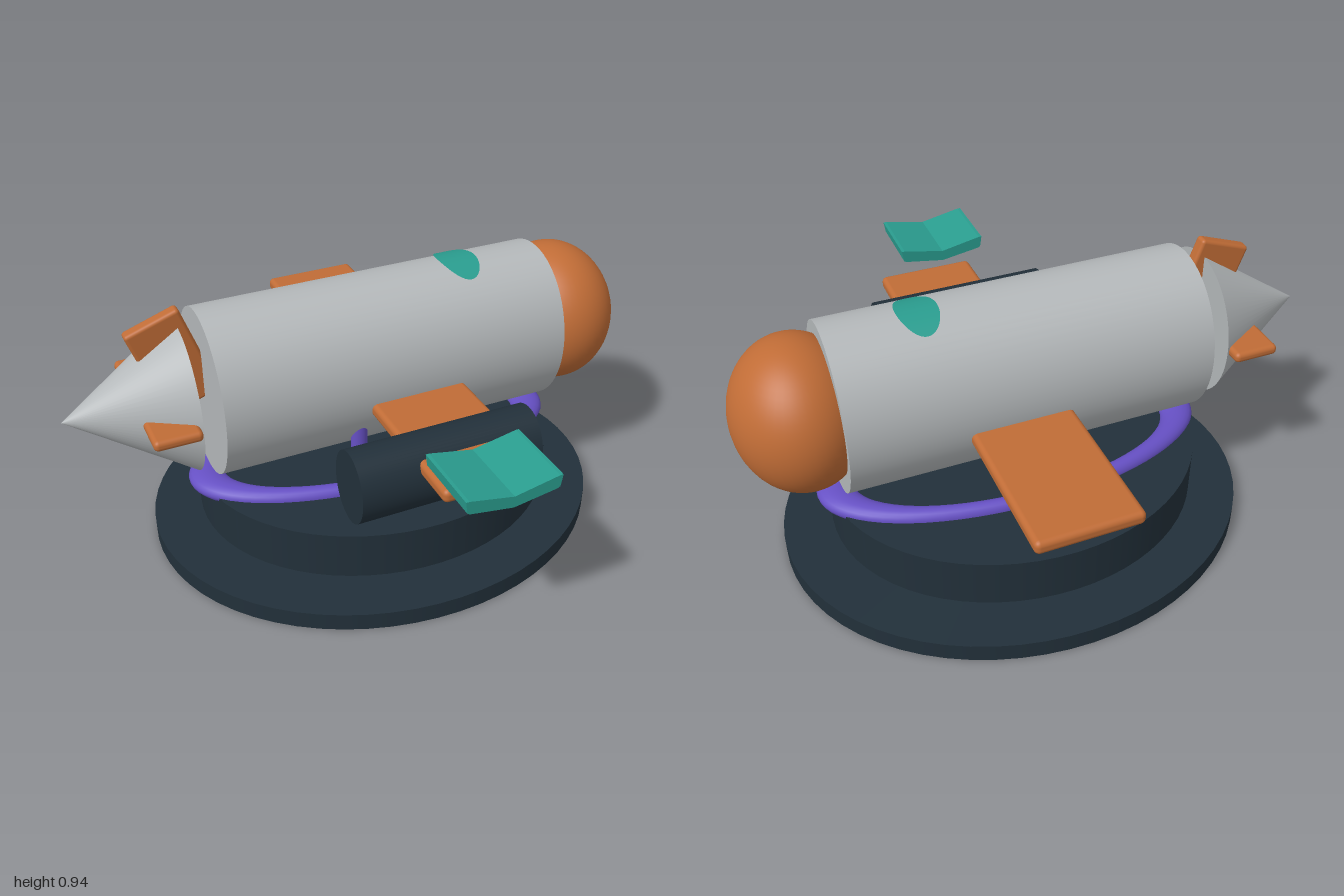
import * as THREE from 'three';
import { RoundedBoxGeometry } from 'three/addons/geometries/RoundedBoxGeometry.js';

const paint = (name, color) => {
  const m = new THREE.MeshStandardMaterial({ color });
  m.name = name;
  return m;
};

export function createModel() {
  const navy = paint('navy', 0x22303a);
  const grey = paint('grey', 0xb4b8ba);
  const orange = paint('orange', 0xc06c36);
  const teal = paint('teal', 0x2a9d8f);
  const purple = paint('purple', 0x6650c4);

  const model = new THREE.Group();
  const CZ = -0.095; // centre line of the craft
  const BODY_Y = 0.617;

  const add = (name, geometry, material, x, y, z) => {
    const mesh = new THREE.Mesh(geometry, material);
    mesh.name = name;
    mesh.position.set(x, y, z);
    model.add(mesh);
    return mesh;
  };
  // Upright elliptical cylinder
  const disc = (rx, rz, h) => new THREE.CylinderGeometry(1, 1, h, 64).scale(rx, 1, rz);
  // Cylinder lying along x, narrow end towards -x
  const lying = (rTip, ry, rz, length) =>
    new THREE.CylinderGeometry(rTip, 1, length, 64).rotateZ(Math.PI / 2).scale(1, ry, rz);
  const box = (w, h, d, r) => new RoundedBoxGeometry(w, h, d, 3, r);

  // Stand
  add('basePlate', disc(0.815, 0.695, 0.063), navy, 0.075, 0.0315, CZ);
  add('turntable', disc(0.645, 0.55, 0.17), navy, 0.075, 0.18, CZ);
  const ring = new THREE.TorusGeometry(1, 0.1, 20, 72).rotateX(Math.PI / 2);
  add('standRing', ring.scale(0.627, 0.325, 0.278), purple, 0.075, 0.263, CZ);

  // Struts with rounded feet
  for (const x of [-0.065, 0.22]) {
    add('strut', disc(0.029, 0.025, 0.44), purple, x, 0.285, 0.097);
    add('foot', new THREE.SphereGeometry(1, 32, 20).scale(0.029, 0.045, 0.09), navy, x, 0.107, 0.097);
  }

  // Fuselage, nose and tail cone
  add('fuselage', lying(1, 0.293, 0.25, 1.23), grey, 0.075, BODY_Y, CZ);
  add('nose', new THREE.SphereGeometry(1, 48, 32).scale(0.213, 0.255, 0.25), orange, 0.783, 0.63, CZ);
  add('tailCone', lying(0, 0.263, 0.228, 0.395), grey, -0.8025, 0.621, CZ);

  // Wings and tail surfaces
  add('wing', box(0.345, 0.047, 1.51, 0.018), orange, 0.132, 0.553, CZ);
  add('tailPlane', box(0.157, 0.037, 0.535, 0.016), orange, -0.692, 0.625, -0.1);
  const fin = add('tailFin', box(0.19, 0.34, 0.046, 0.012), orange, -0.63, 0.755, CZ);
  fin.rotation.z = 0.34;

  // Engine pod
  add('enginePod', lying(1, 0.126, 0.105, 0.63), navy, 0.075, 0.487, 0.414);

  // Bent plate in front of the wing
  const chevron = new THREE.Shape([
    [-0.156, 0.025], [-0.15, -0.015], [-0.142, -0.02], [0, -0.043], [0.142, -0.02], [0.15, -0.015],
    [0.156, 0.025], [0.145, 0.025], [0, -0.004], [-0.145, 0.025],
  ].map(([x, y]) => new THREE.Vector2(x, y)));
  add('bentPlate', new THREE.ExtrudeGeometry(chevron, { depth: 0.243, bevelEnabled: false }),
    teal, 0.075, 0.669, 0.606);

  // Oval window wrapped over the top of the fuselage
  const oval = new THREE.RingGeometry(0.001, 1, 40, 8).rotateX(-Math.PI / 2).scale(0.067, 1, 0.113);
  const p = oval.attributes.position;
  for (let i = 0; i < p.count; i++) {
    p.setY(i, 0.297 * Math.sqrt(1 - (p.getZ(i) / 0.253) ** 2));
  }
  oval.computeVertexNormals();
  add('canopyWindow', oval, teal, 0.387, BODY_Y, -0.1);

  return model;
}
